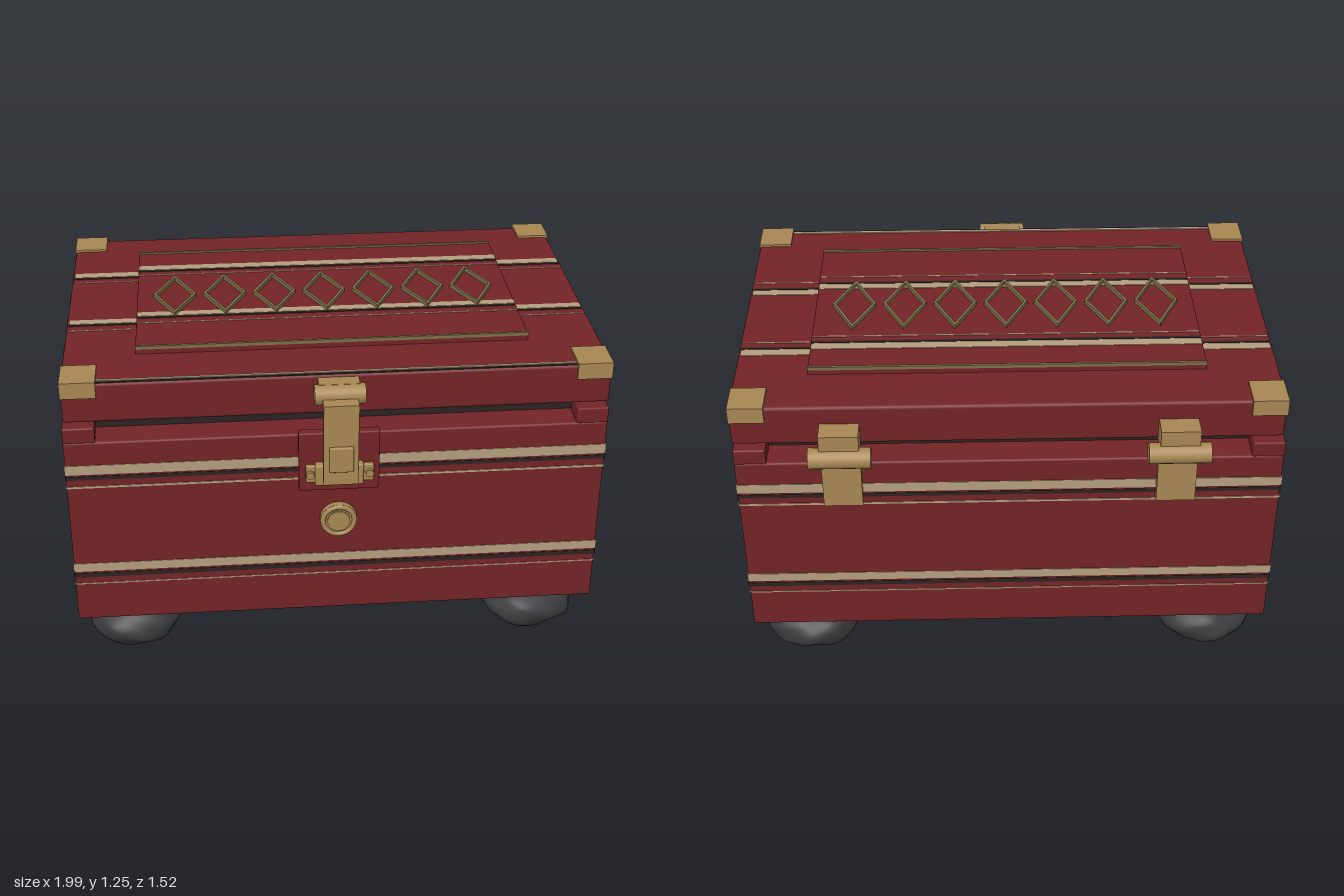
import * as THREE from 'three';
import { mergeVertices } from 'three/addons/utils/BufferGeometryUtils.js';
import { RoundedBoxGeometry } from 'three/addons/geometries/RoundedBoxGeometry.js';

const mat = (name, color) => {
  const m = new THREE.MeshStandardMaterial({ color });
  m.name = name;
  return m;
};

export function createModel() {
  const red = mat('redLeather', 0x742427);
  const dark = mat('darkTrim', 0x2c2323);
  const tan = mat('tanStripe', 0xb59f7e);
  const gold = mat('brass', 0xa88854);
  const bronze = mat('agedBrass', 0x7d7048);
  const stone = mat('darkStone', 0x3a3a3c);

  const root = new THREE.Group();
  root.name = 'chest';
  const CX = 0.0135;

  const add = (name, geo, material, x = 0, y = 0, z = 0, parent = root) => {
    const m = new THREE.Mesh(geo, material);
    m.name = name;
    m.position.set(x, y, z);
    parent.add(m);
    return m;
  };
  // box given by its limits, optionally with rounded edges
  const span = (name, material, x0, x1, y0, y1, z0, z1, r = 0) => {
    const w = x1 - x0, h = y1 - y0, d = z1 - z0;
    const g = r ? new RoundedBoxGeometry(w, h, d, 2, r) : new THREE.BoxGeometry(w, h, d);
    return add(name, g, material, (x0 + x1) / 2, (y0 + y1) / 2, (z0 + z1) / 2);
  };
  const barrel = (name, x, y, z, r, len) =>
    add(name, new THREE.CylinderGeometry(r, r, len, 20).rotateZ(Math.PI / 2), gold, x, y, z);
  const disc = (name, r, depth, x, y, z, n = 24, material = gold) =>
    add(name, new THREE.CylinderGeometry(r, r, depth, n).rotateX(Math.PI / 2), material, x, y, z);

  // Body and plinth
  span('body', red, -0.965, 0.99, 0.22, 0.988, -0.675, 0.63, 0.008);
  span('plinth', red, -0.885, 0.912, 0.185, 0.23, -0.58, 0.535, 0.008);

  // Stripes wrapped around the body
  const band = (name, material, y0, y1) =>
    span(name, material, -0.967, 0.992, y0, y1, -0.677, 0.632);
  band('upperStripe', tan, 0.857, 0.895);
  band('upperDarkStripe', dark, 0.835, 0.85);
  band('upperThinStripe', tan, 0.8, 0.808);
  band('lowerStripe', tan, 0.438, 0.473);
  band('lowerDarkStripe', dark, 0.412, 0.43);
  band('lowerThinStripe', tan, 0.381, 0.386);

  // Stripes under the plinth
  for (const z of [-0.3, 0.118])
    span('undersideStripe', tan, -0.87, 0.9, 0.183, 0.187, z - 0.018, z + 0.018);

  // Dark inner rim and the four corner blocks
  span('innerRim', dark, -0.9, 0.925, 0.98, 1.046, -0.565, 0.52);
  for (const [x0, x1] of [[-0.965, -0.85], [0.875, 0.99]])
    for (const [z0, z1] of [[0.532, 0.63], [-0.675, -0.575]])
      span('rimCorner', red, x0, x1, 0.985, 1.046, z0, z1, 0.006);

  // Lid with raised panel
  span('lid', red, -0.96, 0.993, 1.055, 1.21, -0.65, 0.605, 0.012);
  span('lidPanel', red, -0.7, 0.73, 1.2, 1.234, -0.445, 0.393, 0.004);
  for (const z of [-0.441, 0.389])
    span('panelEdge', bronze, -0.7, 0.73, 1.228, 1.241, z - 0.005, z + 0.005);

  // Stripes along the lid, repeated on the panel
  for (const [name, m, z0, z1] of [
    ['lidStripe', tan, -0.318, -0.28], ['lidDarkStripe', dark, -0.277, -0.265],
    ['lidThinStripe', tan, -0.236, -0.231],
    ['lidStripe', tan, 0.102, 0.136], ['lidDarkStripe', dark, 0.139, 0.151],
    ['lidThinStripe', tan, 0.188, 0.193]]) {
    span(name, m, -0.952, 0.985, 1.207, 1.212, z0, z1);
    span(name, m, -0.698, 0.728, 1.231, 1.236, z0, z1);
  }
  span('lidFrontStripe', tan, -0.835, 0.866, 1.206, 1.214, 0.579, 0.59);
  span('lidFrontDarkStripe', dark, -0.835, 0.866, 1.204, 1.211, 0.591, 0.599);

  // Dark patches on both ends of the lid
  for (let i = 0; i < 6; i++) {
    const z = 0.497 - i * 0.207;
    for (const x of [-0.96, 0.993])
      span('lidPatch', dark, x - 0.003, x + 0.003, 1.07, 1.19, z - 0.043, z + 0.043);
  }

  // Row of diamond frames
  const rhombus = (s, a, b) => s.moveTo(a, 0).lineTo(0, b).lineTo(-a, 0).lineTo(0, -b).closePath();
  const diamond = new THREE.Shape();
  rhombus(diamond, 0.081, 0.167);
  const hole = new THREE.Path();
  rhombus(hole, 0.07, 0.145);
  diamond.holes.push(hole);
  const diamondGeo = new THREE.ExtrudeGeometry(diamond, { depth: 0.016, bevelEnabled: false })
    .rotateX(-Math.PI / 2);
  for (let i = 0; i < 7; i++)
    add('diamond', diamondGeo, bronze, CX + (i - 3) * 0.19, 1.233, -0.026);

  // Lid corner plates: a top plate with a flange folded over the front or back
  for (const [x0, x1] of [[-0.962, -0.836], [0.868, 0.994]])
    for (const s of [1, -1]) {
      const zo = s > 0 ? 0.611 : -0.657, zi = s > 0 ? 0.478 : -0.535;
      span('cornerPlate', gold, x0, x1, 1.205, 1.219, Math.min(zo, zi), Math.max(zo, zi));
      span('cornerFlange', gold, x0, x1, 1.157, 1.219, zo - 0.006, zo + 0.003);
    }

  // Latch: backing, bracket, hanging strap and barrel
  span('latchBacking', red, -0.132, 0.16, 0.763, 1.003, 0.62, 0.655, 0.006);
  span('latchBracket', gold, -0.108, 0.138, 0.806, 0.875, 0.65, 0.67, 0.005);
  span('latchKeeper', gold, -0.075, 0.1, 0.8, 0.885, 0.65, 0.685, 0.008);
  for (const x of [-0.092, 0.122]) disc('latchScrew', 0.015, 0.02, x, 0.842, 0.672, 12);
  span('latchMount', gold, -0.06, 0.085, 1.125, 1.2, 0.6, 0.66);
  barrel('latchBarrel', CX, 1.162, 0.66, 0.037, 0.18);
  span('latchArm', gold, -0.05, 0.075, 1.13, 1.16, 0.67, 0.745);
  span('latchStrap', gold, -0.05, 0.075, 0.838, 1.155, 0.715, 0.745, 0.006);
  span('latchButton', gold, -0.03, 0.056, 0.897, 0.997, 0.735, 0.757, 0.005);

  // Round boss under the latch
  disc('bossPlate', 0.068, 0.025, CX, 0.628, 0.64);
  add('bossRim', new THREE.TorusGeometry(0.058, 0.01, 8, 28), gold, CX, 0.628, 0.651);
  disc('bossCentre', 0.042, 0.01, CX, 0.628, 0.654);

  // Back hinges
  for (const x of [-0.582, 0.61]) {
    barrel('hingeBarrel', x, 1.043, -0.72, 0.038, 0.22);
    span('hingeUpperLeaf', gold, x - 0.07, x + 0.07, 1.05, 1.14, -0.73, -0.64);
    span('hingeLowerLeaf', gold, x - 0.07, x + 0.07, 0.815, 1.045, -0.702, -0.67);
  }

  // Ring handle on the right end
  add('ringMount', new THREE.CylinderGeometry(0.042, 0.042, 0.02, 20).rotateZ(Math.PI / 2),
    gold, -0.973, 0.725, -0.03);
  add('ringHandle', new THREE.TorusGeometry(0.062, 0.01, 10, 32).rotateY(Math.PI / 2),
    gold, -0.989, 0.647, -0.03);

  // Rough stone feet: spheres pushed in and out by a few waves
  const footGeo = (seed) => {
    let g = new THREE.IcosahedronGeometry(1, 6);
    g.deleteAttribute('uv');
    g.deleteAttribute('normal');
    g = mergeVertices(g, 1e-4);
    const p = g.attributes.position, v = new THREE.Vector3();
    for (let i = 0; i < p.count; i++) {
      v.fromBufferAttribute(p, i);
      const n = Math.sin(v.x * 4.1 + seed) * Math.cos(v.z * 3.7 - seed) * 0.04
        + Math.sin(v.y * 6.3 + v.x * 5.2 + seed * 2) * 0.025
        + Math.sin(v.z * 9.1 - v.x * 7.3 + seed) * 0.015;
      v.multiplyScalar(1 + n);
      p.setXYZ(i, v.x * 0.174, v.y * 0.096, v.z * 0.148);
    }
    g.computeVertexNormals();
    // rest the lowest point on the ground
    g.computeBoundingBox();
    g.translate(0, -g.boundingBox.min.y, 0);
    return g;
  };
  let seed = 1;
  for (const x of [-0.76, 0.787])
    for (const z of [0.455, -0.503]) add('foot', footGeo(seed++), stone, x, 0, z);

  return root;
}
